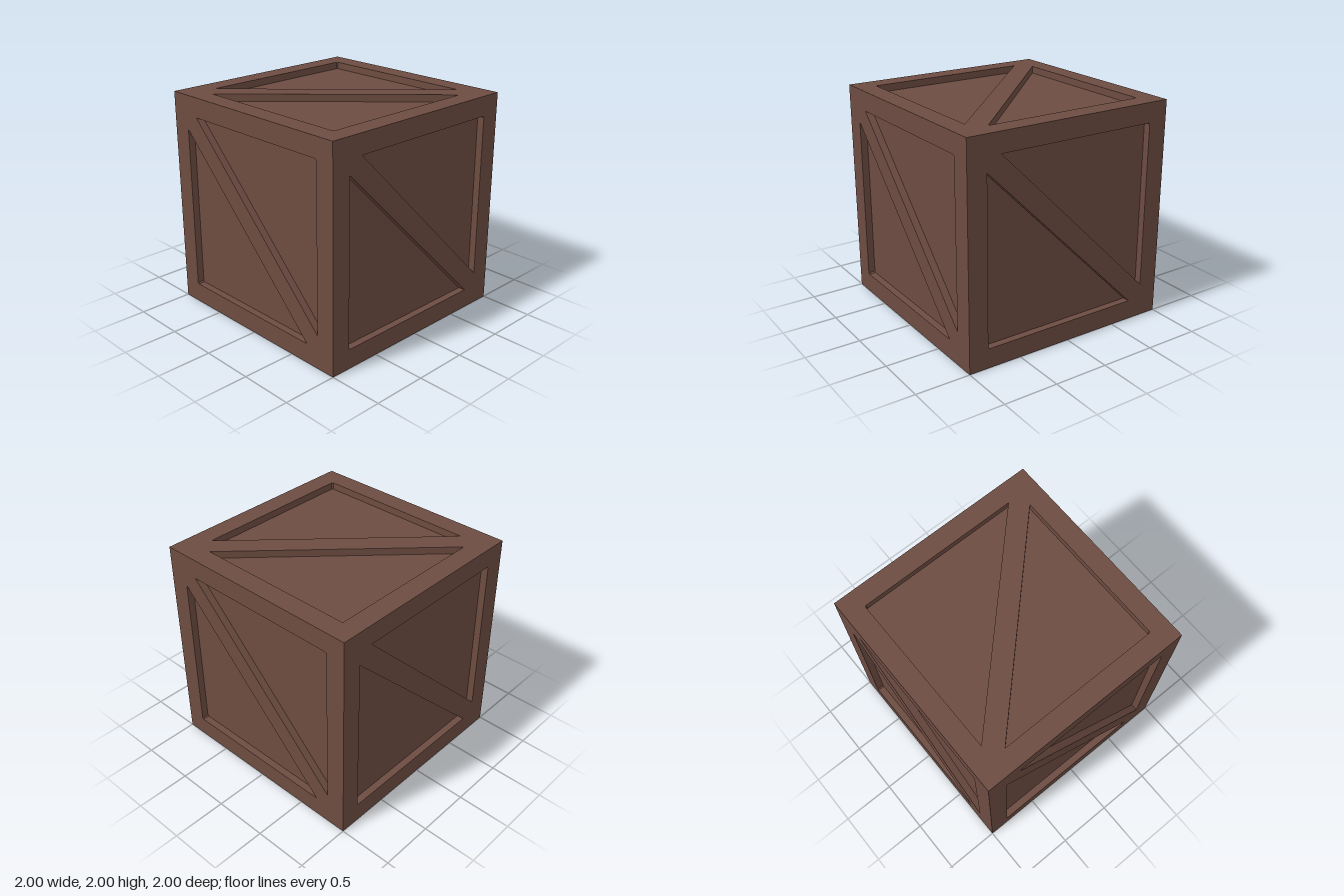
import * as THREE from 'three';

const HALF = 1;       // half the crate's edge
const INNER = 0.82;   // inner edge of the border planks
const TIP = 0.69;     // where the diagonal plank meets the border
const DEPTH = 0.065;  // how far the panels sit back
const CUT = 0.012;    // tiny chamfer in the panel corner

// Triangular openings either side of the diagonal plank, counter-clockwise
const upper = [
  [INNER, -TIP], [INNER, INNER - CUT], [INNER - CUT, INNER], [-TIP, INNER],
].map(([x, y]) => new THREE.Vector2(x, y));
const lower = upper.map((p) => p.clone().negate());

// Inward-facing walls of one opening
function wallGeometry(points) {
  const pos = [];
  points.forEach((a, i) => {
    const b = points[(i + 1) % points.length];
    pos.push(a.x, a.y, 0, b.x, b.y, 0, b.x, b.y, -DEPTH);
    pos.push(a.x, a.y, 0, b.x, b.y, -DEPTH, a.x, a.y, -DEPTH);
  });
  const geo = new THREE.BufferGeometry();
  geo.setAttribute('position', new THREE.Float32BufferAttribute(pos, 3));
  geo.computeVertexNormals();
  return geo;
}

// Border and diagonal plank as one sheet with two openings
function frameGeometry() {
  const shape = new THREE.Shape([
    new THREE.Vector2(-HALF, -HALF), new THREE.Vector2(HALF, -HALF),
    new THREE.Vector2(HALF, HALF), new THREE.Vector2(-HALF, HALF),
  ]);
  for (const hole of [upper, lower]) {
    shape.holes.push(new THREE.Path([...hole].reverse()));
  }
  return new THREE.ShapeGeometry(shape);
}

export function createModel() {
  const wood = new THREE.MeshStandardMaterial({ color: 0x6d4c41 });
  wood.name = 'brown wood';

  const frame = frameGeometry();
  const openings = [upper, lower].map((pts) => ({
    walls: wallGeometry(pts),
    panel: new THREE.ShapeGeometry(new THREE.Shape(pts)).translate(0, 0, -DEPTH),
  }));

  function makeSide(name) {
    const side = new THREE.Group();
    side.name = name;
    const add = (geo, part) => {
      const mesh = new THREE.Mesh(geo, wood);
      mesh.name = part;
      mesh.position.z = HALF;
      side.add(mesh);
    };
    add(frame, 'plankFrame');
    for (const { walls, panel } of openings) {
      add(walls, 'recessWalls');
      add(panel, 'recessedPanel');
    }
    return side;
  }

  const crate = new THREE.Group();
  crate.name = 'crate';
  const q = Math.PI / 2;

  // Four upright sides, then lid and base with matching diagonals
  const sides = [
    ['frontSide', 0, 0, 0], ['leftSide', 0, q, 0],
    ['backSide', 0, 2 * q, 0], ['rightSide', 0, -q, 0],
    ['lid', -q, 0, q], ['base', q, 0, 0],
  ];
  for (const [name, rx, ry, rz] of sides) {
    const side = makeSide(name);
    side.rotation.set(rx, ry, rz);
    side.position.y = HALF;
    crate.add(side);
  }
  return crate;
}
